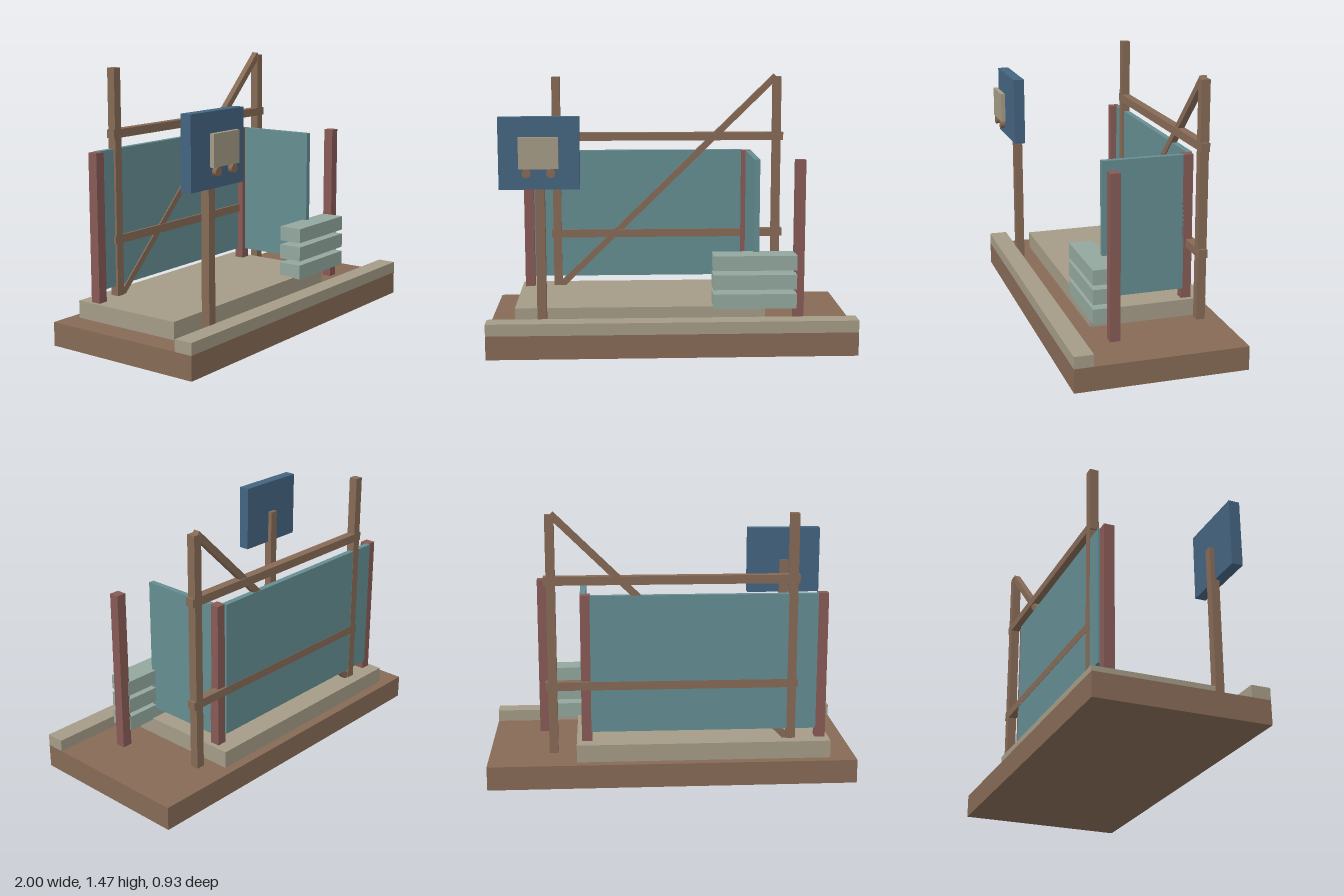
import * as THREE from 'three';

const mat = (name, color) => Object.assign(new THREE.MeshStandardMaterial({ color }), { name });

export function createModel() {
  const wood = mat('brown wood', 0x866a56);
  const stone = mat('beige stone', 0xa49b86);
  const teal = mat('teal panel', 0x648d91);
  const red = mat('dull red post', 0x875a56);
  const blue = mat('blue board', 0x446480);
  const sage = mat('pale green plank', 0x92a79e);

  const model = new THREE.Group();
  model.name = 'constructionSite';

  // Box given by its limits along each axis
  const box = (name, material, [x0, x1], [y0, y1], [z0, z1]) => {
    const mesh = new THREE.Mesh(new THREE.BoxGeometry(x1 - x0, y1 - y0, z1 - z0), material);
    mesh.position.set((x0 + x1) / 2, (y0 + y1) / 2, (z0 + z1) / 2);
    mesh.name = name;
    model.add(mesh);
    return mesh;
  };

  // Ground, kerb and foundation slab
  box('ground', wood, [-1, 1], [0, 0.13], [-0.467, 0.467]);
  box('kerb', stone, [-1, 1], [0.13, 0.195], [0.363, 0.467]);
  box('slab', stone, [-0.86, 0.52], [0.13, 0.225], [-0.415, 0.242]);

  // Wall panels and their red posts
  box('backPanel', teal, [-0.785, 0.44], [0.28, 1.03], [-0.35, -0.318]);
  box('sidePanel', teal, [0.46, 0.492], [0.28, 1.03], [-0.29, 0.167]);
  for (const [x, z] of [[-0.813, -0.312], [0.464, -0.31], [0.713, 0.172]]) {
    box('wallPost', red, [x - 0.028, x + 0.028], [0.13, 1.03], [z - 0.028, z + 0.028]);
  }

  // Scaffold: uprights, rails and diagonal brace
  for (const x of [-0.649, 0.644]) {
    box('scaffoldUpright', wood, [x - 0.024, x + 0.024], [0.165, 1.46], [-0.352, -0.304]);
  }
  for (const y of [0.537, 1.111]) {
    box('scaffoldRail', wood, [-0.683, 0.683], [y - 0.023, y + 0.023], [-0.352, -0.304]);
  }
  const from = new THREE.Vector2(-0.645, 0.21);
  const to = new THREE.Vector2(0.637, 1.462);
  const run = to.clone().sub(from);
  const brace = new THREE.Mesh(new THREE.BoxGeometry(run.length(), 0.036, 0.036), wood);
  brace.position.set((from.x + to.x) / 2, (from.y + to.y) / 2, -0.328);
  brace.rotation.z = run.angle();
  brace.name = 'scaffoldBrace';
  model.add(brace);

  // Stack of planks
  for (let i = 0; i < 3; i++) {
    const y = 0.217 + i * 0.107;
    box('plank', sage, [0.23, 0.69], [y, y + 0.082], [0.14, 0.276]);
  }

  // Sign: post, board and a raised cart emblem
  box('signPost', wood, [-0.728, -0.678], [0.13, 1.1], [0.317, 0.365]);
  box('signBoard', blue, [-0.915, -0.49], [0.907, 1.288], [0.342, 0.404]);
  box('cartBody', stone, [-0.806, -0.598], [1.022, 1.188], [0.434, 0.459]);
  for (const x of [-0.766, -0.638]) {
    const wheel = new THREE.Mesh(new THREE.CylinderGeometry(0.024, 0.024, 0.025, 16), wood);
    wheel.rotation.x = Math.PI / 2;
    wheel.position.set(x, 0.999, 0.4465);
    wheel.name = 'cartWheel';
    model.add(wheel);
  }

  return model;
}
